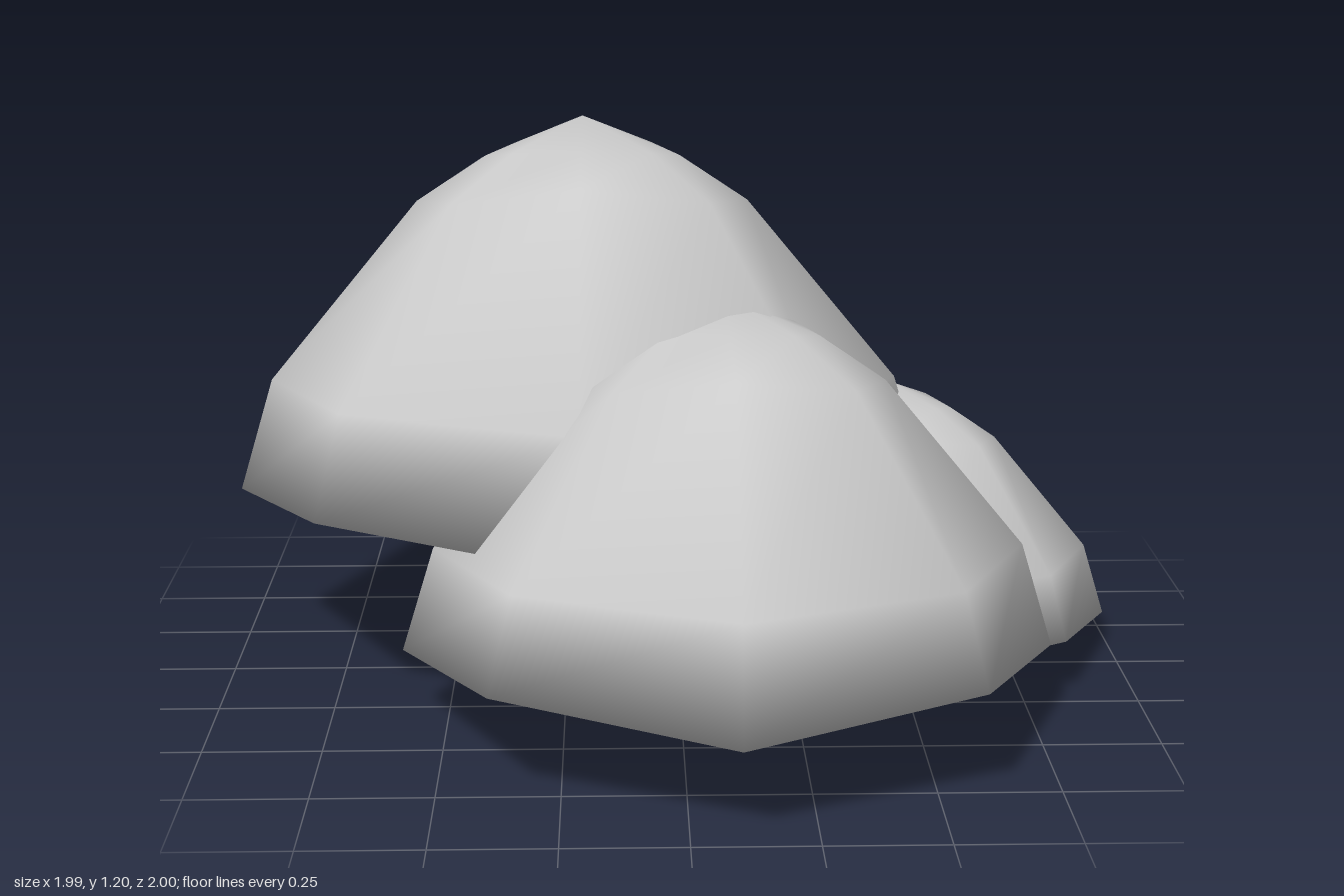
import * as THREE from 'three';

const SIDES = 8;

// Cross-sections of a unit boulder from rim to crown. Each holds five
// [outward x, y, z] corners from front to back, mirrored to the other side.
const s = Math.SQRT1_2;
const RINGS = [
  // sharp lower rim, tilted up towards the front
  [[0, 0.2, 1], [s, 0.25, s], [1, 0.143, 0], [s, 0.165, -s], [0, 0.085, -1]],
  // short bevel above the rim
  [[0, 0.53, 0.9], [0.64, 0.53, 0.64], [0.9, 0.47, 0], [0.64, 0.44, -0.64], [0, 0.41, -0.9]],
  // shoulder
  [[0, 1.1, 0.49], [0.35, 1.04, 0.35], [0.47, 0.99, 0], [0.36, 0.91, -0.43], [0, 0.93, -0.57]],
  // crown, leaning to the back
  [[0, 1.13, 0], [0.2, 1.12, -0.02], [0.28, 1.1, -0.12], [0.2, 1.1, -0.38], [0, 1.11, -0.44]],
];
const BASE = [0, 0, 0];
const PEAK = [0, 1.2, -0.23];

function boulderGeometry() {
  const points = [...BASE];
  for (const ring of RINGS) {
    for (let k = 0; k < SIDES; k++) {
      const [x, y, z] = ring[k <= 4 ? k : SIDES - k];
      points.push(k <= 4 ? x : -x, y, z);
    }
  }
  points.push(...PEAK);

  const at = (j, k) => 1 + j * SIDES + (k % SIDES);
  const top = 1 + RINGS.length * SIDES;
  const faces = [];
  for (let k = 0; k < SIDES; k++) {
    // shallow underside
    faces.push(0, at(0, k + 1), at(0, k));
    // walls
    for (let j = 0; j < RINGS.length - 1; j++) {
      const a = at(j, k), b = at(j, k + 1), c = at(j + 1, k + 1), d = at(j + 1, k);
      faces.push(a, b, c, a, c, d);
    }
    // cap
    faces.push(at(RINGS.length - 1, k), at(RINGS.length - 1, k + 1), top);
  }

  const geometry = new THREE.BufferGeometry();
  geometry.setAttribute('position', new THREE.Float32BufferAttribute(points, 3));
  geometry.setIndex(faces);
  geometry.computeVertexNormals();
  return geometry;
}

export function createModel() {
  const group = new THREE.Group();
  group.name = 'rockPile';
  const material = new THREE.MeshStandardMaterial({ color: 0xcccccc });
  const geometry = boulderGeometry();

  // One boulder at three sizes, overlapping
  const boulders = [
    ['largeBoulder', 0.79, -0.21, 0.25, -0.21],
    ['mediumBoulder', 0.695, 0.1, 0.05, 0.3],
    ['smallBoulder', 0.5, 0.49, 0, -0.14],
  ];
  for (const [name, size, x, y, z] of boulders) {
    const boulder = new THREE.Mesh(geometry, material);
    boulder.name = name;
    boulder.scale.setScalar(size);
    boulder.position.set(x, y, z);
    group.add(boulder);
  }
  return group;
}
